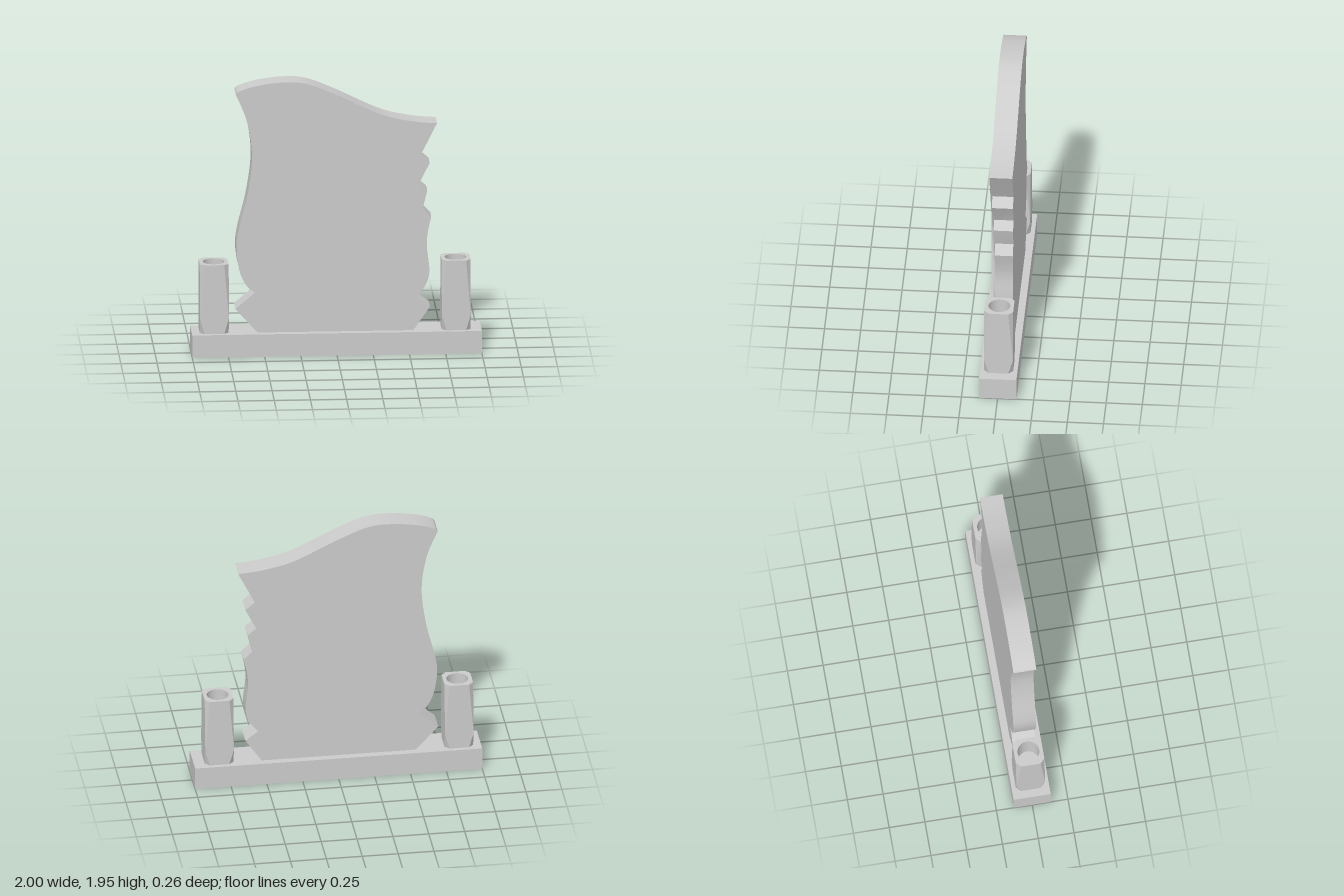
import * as THREE from 'three';
import { toCreasedNormals } from 'three/addons/utils/BufferGeometryUtils.js';

const material = new THREE.MeshStandardMaterial({ color: 0xcccccc });
const BASE_TOP = 0.16;
const BACK = -0.08;

const vec = (p) => new THREE.Vector2(p[0], p[1]);
const spline = (pts, n = 32) => new THREE.SplineCurve(pts.map(vec)).getPoints(n);

function add(parent, name, geometry) {
  const mesh = new THREE.Mesh(geometry, material);
  mesh.name = name;
  parent.add(mesh);
  return mesh;
}

// Extrudes an outline from the common back plane to the given front z
function slab(outline, front) {
  const g = new THREE.ExtrudeGeometry(new THREE.Shape(outline), { depth: front - BACK, bevelEnabled: false });
  g.translate(0, 0, BACK);
  return toCreasedNormals(g, 0.4);
}

// Octagon ring: a square of half width h with corners cut by c
function ring(h, c) {
  const k = h - c;
  return [[h, -k], [h, k], [k, h], [-k, h], [-h, k], [-h, -k], [-k, -h], [k, -h]];
}

function createVase(height) {
  const group = new THREE.Group();
  const h = 0.1, c = 0.032, r = 0.075, depth = 0.2;

  // Body: corner cuts narrow to a point at the square waist
  const levels = [[0, c], [0.11, 0], [height, c]];
  const rings = levels.map(([y, cut]) => ring(h, cut).map(([x, z]) => new THREE.Vector3(x, y, z)));
  const pos = [];
  const tri = (a, b, d) => {
    if (new THREE.Triangle(a, b, d).getArea() > 1e-7) pos.push(...a, ...b, ...d);
  };
  for (let l = 0; l < 2; l++) {
    for (let i = 0; i < 8; i++) {
      const j = (i + 1) % 8;
      const [a, b, d, e] = [rings[l][i], rings[l][j], rings[l + 1][j], rings[l + 1][i]];
      tri(a, d, b);
      tri(a, e, d);
    }
  }
  const body = new THREE.BufferGeometry();
  body.setAttribute('position', new THREE.Float32BufferAttribute(pos, 3));
  body.computeVertexNormals();
  add(group, 'vaseBody', body);

  // Rim with a round opening
  const rim = new THREE.Shape(ring(h, c).map(vec));
  rim.holes.push(new THREE.Path().absarc(0, 0, r, 0, Math.PI * 2, true));
  add(group, 'vaseRim', new THREE.ShapeGeometry(rim, 24).rotateX(-Math.PI / 2).translate(0, height, 0));

  // Hollow: wall facing inwards, and its floor
  const wall = new THREE.LatheGeometry([vec([r, height]), vec([r, height - depth])], 48);
  add(group, 'vaseHollow', wall);
  add(group, 'vaseHollowFloor', new THREE.CircleGeometry(r, 48).rotateX(-Math.PI / 2).translate(0, height - depth, 0));
  return group;
}

export function createModel() {
  const model = new THREE.Group();
  model.name = 'headstone';

  // Plinth
  add(model, 'base', new THREE.BoxGeometry(2, BASE_TOP, 0.26).translate(0, BASE_TOP / 2, 0));

  // Right-hand edges of the slab and of each receding layer, from bottom to top
  const edges = [
    spline([[0.555, 0.39], [0.505, 0.6], [0.465, 0.79], [0.452, 0.92], [0.465, 1.09], [0.51, 1.25], [0.58, 1.41], [0.693, 1.638]], 48),
    [...spline([[0.54, 0.45], [0.515, 0.7], [0.503, 0.9], [0.52, 1.05], [0.568, 1.2]]), vec([0.643, 1.35]), vec([0.578, 1.405])],
    [...spline([[0.54, 0.45], [0.57, 0.6], [0.555, 0.8], [0.565, 0.92], [0.595, 1.02]]), vec([0.627, 1.15]), vec([0.568, 1.2])],
    [...spline([[0.555, 0.39], [0.615, 0.47], [0.642, 0.57], [0.625, 0.75], [0.632, 0.85], [0.655, 0.96]]), vec([0.595, 1.02])],
  ];

  // Main slab
  const top = spline([[0.693, 1.638], [0.52, 1.655], [0.3, 1.71], [0, 1.852], [-0.2, 1.932], [-0.36, 1.947], [-0.55, 1.925], [-0.67, 1.888], [-0.697, 1.865]], 64);
  const left = spline([[-0.697, 1.865], [-0.62, 1.67], [-0.585, 1.42], [-0.615, 1.15], [-0.675, 0.9], [-0.693, 0.76], [-0.67, 0.6], [-0.625, 0.5], [-0.565, 0.445]], 64);
  add(model, 'slab', slab([
    vec([0.53, BASE_TOP]), vec([0.643, 0.325]),
    ...edges[0], ...top.slice(1), ...left.slice(1),
    vec([-0.7, 0.33]), vec([-0.545, BASE_TOP]),
  ], 0.08));

  // Receding layers, each filling the strip between two neighbouring edges
  [0.066, 0.055, 0.045].forEach((front, i) => {
    const outer = edges[i + 1];
    const lo = outer[0].y, hi = outer[outer.length - 1].y;
    const inner = edges[i].filter((p) => p.y > lo + 0.005 && p.y < hi - 0.005).reverse();
    add(model, 'edgeLayer' + (i + 1), slab([...outer, ...inner], front));
  });

  // Flower vases
  [['rightVase', -0.845, 0.492], ['leftVase', 0.825, 0.498]].forEach(([name, x, height]) => {
    const vase = createVase(height);
    vase.name = name;
    vase.position.set(x, BASE_TOP, 0);
    model.add(vase);
  });

  return model;
}
